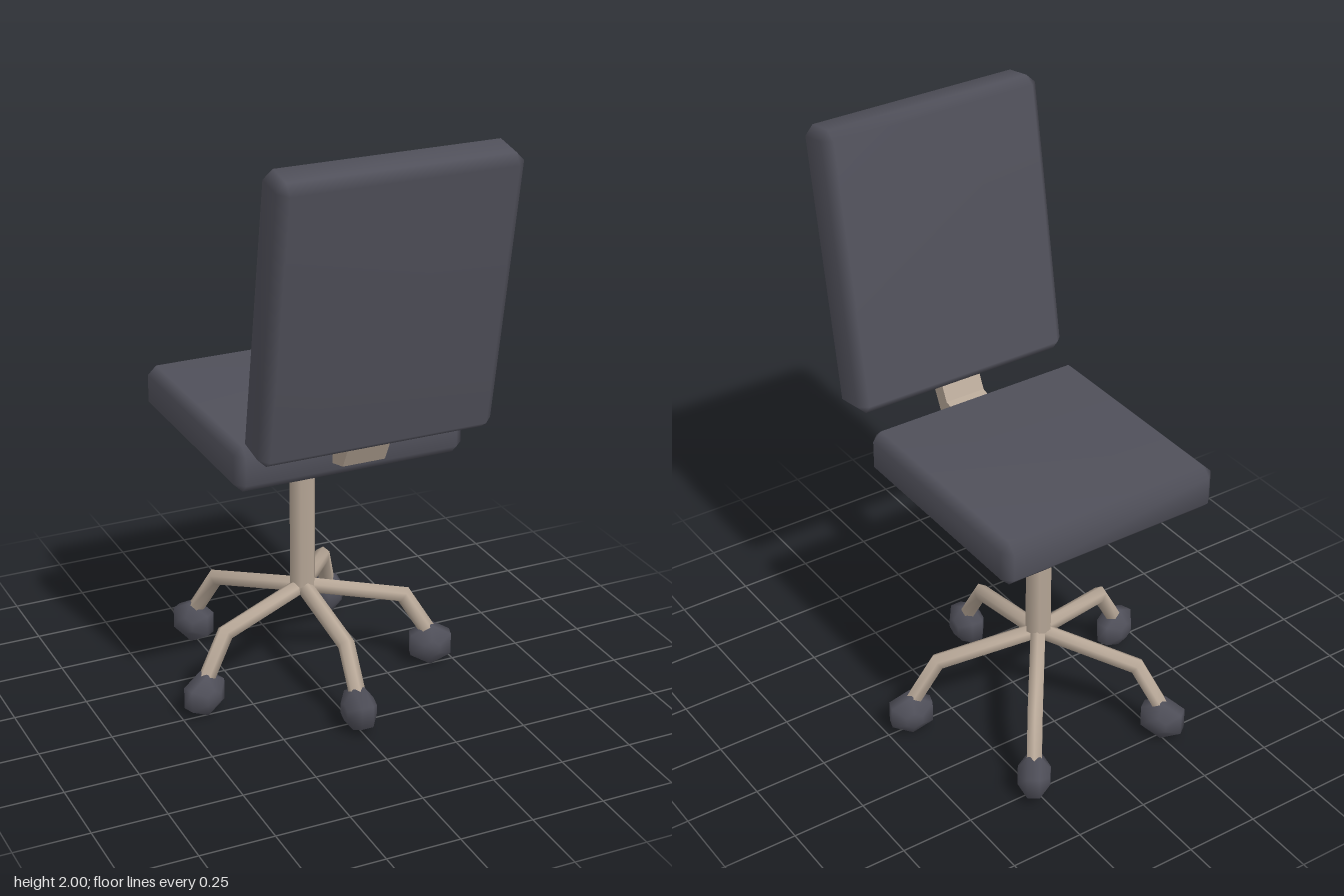
import * as THREE from 'three';
import { mergeVertices } from 'three/addons/utils/BufferGeometryUtils.js';
import { ConvexGeometry } from 'three/addons/geometries/ConvexGeometry.js';

const upholstery = new THREE.MeshStandardMaterial({ color: 0x50505a });
upholstery.name = 'charcoal';
const metal = new THREE.MeshStandardMaterial({ color: 0xb8a898 });
metal.name = 'warm beige';

function addMesh(parent, name, geometry, material) {
  const mesh = new THREE.Mesh(geometry, material);
  mesh.name = name;
  parent.add(mesh);
  return mesh;
}

// Box with chamfered edges and corners, shaded smooth
function cushionGeometry(w, h, d, b) {
  const points = [];
  for (const x of [-1, 1]) for (const y of [-1, 1]) for (const z of [-1, 1]) {
    for (let axis = 0; axis < 3; axis++) {
      const half = [w / 2, h / 2, d / 2].map((s, i) => (i === axis ? s : s - b));
      points.push(new THREE.Vector3(x * half[0], y * half[1], z * half[2]));
    }
  }
  let g = new ConvexGeometry(points);
  g.deleteAttribute('normal');
  g = mergeVertices(g, 1e-4);
  g.computeVertexNormals();
  return g;
}

// Hexagonal bar through [y, z] points in the x = 0 plane, mitred at bends
function barGeometry(path, radius) {
  const n = 6, pos = [], index = [];
  const pts = path.map(([y, z]) => new THREE.Vector2(z, y));
  pts.forEach((p, i) => {
    const a = pts[Math.max(i - 1, 0)], b = pts[Math.min(i + 1, pts.length - 1)];
    const into = (i > 0 ? p.clone().sub(a) : b.clone().sub(p)).normalize();
    const out = (i < pts.length - 1 ? b.clone().sub(p) : p.clone().sub(a)).normalize();
    const t = into.clone().add(out).normalize();
    const stretch = 1 / t.dot(into);
    for (let k = 0; k < n; k++) {
      const ang = (k / n) * Math.PI * 2;
      const up = Math.cos(ang) * radius * stretch;
      pos.push(Math.sin(ang) * radius, p.y + t.x * up, p.x - t.y * up);
    }
  });
  for (let i = 0; i < pts.length - 1; i++) for (let k = 0; k < n; k++) {
    const a = i * n + k, b = i * n + ((k + 1) % n);
    index.push(a, a + n, b, b, a + n, b + n);
  }
  const g = new THREE.BufferGeometry();
  g.setAttribute('position', new THREE.Float32BufferAttribute(pos, 3));
  g.setIndex(index);
  g.computeVertexNormals();
  return g;
}

export function createModel() {
  const chair = new THREE.Group();
  chair.name = 'officeChair';
  const baseZ = -0.15;

  // Cushions
  addMesh(chair, 'seat', cushionGeometry(0.79, 0.155, 0.79, 0.03), upholstery)
    .position.set(0, 0.97, -0.155);
  const back = addMesh(chair, 'backrest', cushionGeometry(0.79, 0.945, 0.155, 0.03), upholstery);
  back.position.set(0, 1.526, 0.429);
  back.rotation.x = THREE.MathUtils.degToRad(10);

  // Bent plate joining seat and backrest
  const profile = new THREE.Shape([
    [0.15, 0.925], [0.315, 0.965], [0.4, 1.13], [0.345, 1.15], [0.28, 1.018], [0.15, 0.985],
  ].map(([z, y]) => new THREE.Vector2(-z, y)));
  const plate = new THREE.ExtrudeGeometry(profile, { depth: 0.145, bevelEnabled: false });
  plate.translate(0, 0, -0.0725).rotateY(Math.PI / 2);
  addMesh(chair, 'backBracket', plate, metal);

  // Hexagonal column
  const column = new THREE.CylinderGeometry(0.046, 0.046, 0.61, 6);
  column.rotateY(Math.PI / 6);
  addMesh(chair, 'column', column, metal).position.set(0, 0.625, baseZ);

  // Five legs, each with a faceted caster
  const legGeometry = barGeometry([[0.325, 0], [0.265, 0.345], [0.11, 0.44]], 0.028);
  const casterProfile = [[0, -0.053], [0.03, -0.053], [0.075, -0.02], [0.075, 0.02], [0.03, 0.053], [0, 0.053]]
    .map(([r, y]) => new THREE.Vector2(r, y));
  const casterGeometry = new THREE.LatheGeometry(casterProfile, 6, Math.PI / 2);
  casterGeometry.rotateZ(Math.PI / 2).scale(1, 1, 1.07);
  for (let i = 0; i < 5; i++) {
    const leg = new THREE.Group();
    leg.name = 'legAssembly' + (i + 1);
    addMesh(leg, 'leg', legGeometry, metal);
    addMesh(leg, 'caster', casterGeometry, upholstery).position.set(0, 0.075, 0.44);
    leg.position.z = baseZ;
    leg.rotation.y = (i / 5) * Math.PI * 2;
    chair.add(leg);
  }
  return chair;
}
